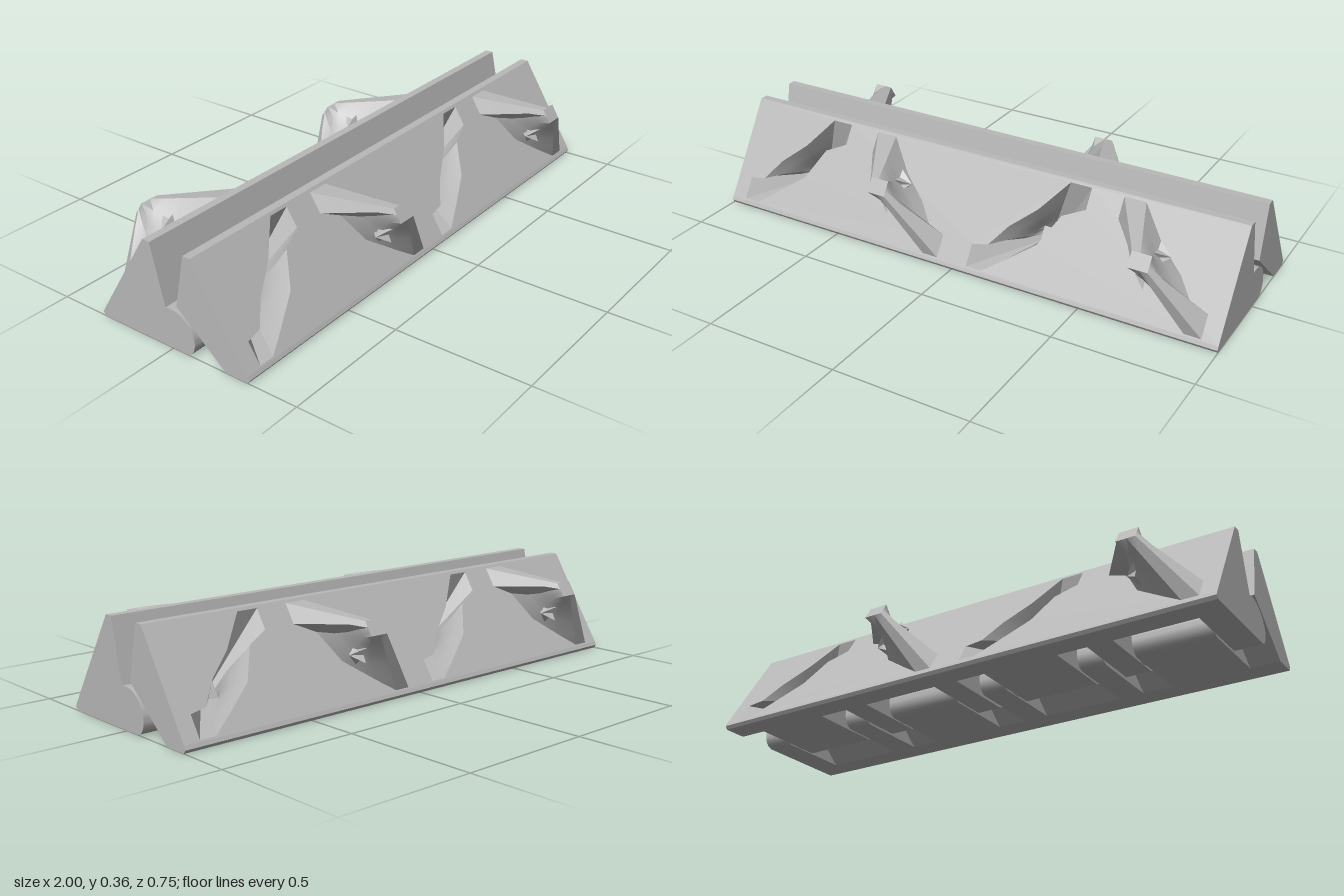
import * as THREE from 'three';
import { toCreasedNormals } from 'three/addons/utils/BufferGeometryUtils.js';

const V2 = (a) => a.map(([x, y]) => new THREE.Vector2(x, y));

function fromTriangles(pos) {
  const g = new THREE.BufferGeometry();
  g.setAttribute('position', new THREE.Float32BufferAttribute(pos, 3));
  return toCreasedNormals(g, 0.5);
}

// Prism along x from an open counter-clockwise (z, y) profile; the closing side stays open
function prism(profile, x0, x1) {
  const pos = [];
  for (let i = 0; i < profile.length - 1; i++) {
    const [a, b] = profile[i], [c, d] = profile[i + 1];
    pos.push(x1, b, a, x1, d, c, x0, d, c, x1, b, a, x0, d, c, x0, b, a);
  }
  for (const [i, j, k] of THREE.ShapeUtils.triangulateShape(V2(profile), [])) {
    for (const n of [i, j, k]) pos.push(x0, profile[n][1], profile[n][0]);
    for (const n of [k, j, i]) pos.push(x1, profile[n][1], profile[n][0]);
  }
  return fromTriangles(pos);
}

// Surface through equal-length rings [{ w, pts }], capped at the last ring
function loft(rings, socket) {
  const pos = [];
  const tri = (a, b, c) => {
    for (const p of socket ? [a, c, b] : [a, b, c]) {
      pos.push(socket ? -p[0] : p[0], p[1], socket ? -p[2] : p[2]);
    }
  };
  const at = (r, i) => [...r.pts[i % r.pts.length], r.w];
  for (let k = 0; k < rings.length - 1; k++) {
    const r = rings[k], s = rings[k + 1];
    for (let i = 0; i < r.pts.length; i++) {
      tri(at(r, i), at(r, i + 1), at(s, i + 1));
      tri(at(r, i), at(s, i + 1), at(s, i));
    }
  }
  const top = rings[rings.length - 1];
  for (const f of THREE.ShapeUtils.triangulateShape(V2(top.pts), [])) tri(...f.map((i) => at(top, i)));
  return fromTriangles(pos);
}

// Five-pointed raised star, pointing along +y
function starGeometry() {
  const g = new THREE.ConeGeometry(0.045, 0.045, 10, 1, true).toNonIndexed();
  const p = g.attributes.position;
  for (let i = 0; i < p.count; i++) {
    const turn = Math.round(Math.atan2(p.getX(i), p.getZ(i)) / (Math.PI / 5));
    const k = turn % 2 ? 0.5 : 1;
    p.setXYZ(i, p.getX(i) * k, p.getY(i), p.getZ(i) * k);
  }
  g.computeVertexNormals();
  return g;
}

export function createModel() {
  const model = new THREE.Group();
  model.name = 'hingedRail';
  const grey = new THREE.MeshStandardMaterial({ color: 0xb8b8b8 });
  grey.name = 'lightGrey';
  const add = (parent, name, geometry) => {
    const m = new THREE.Mesh(geometry, grey);
    m.name = name;
    parent.add(m);
    return m;
  };

  // Wall cross-section without its sloping outer face
  const wall = [[0.10, 0.36], [0.07, 0.36], [0.027, 0.165], [0.222, 0], [0.31, 0], [0.318, 0.012], [0.312, 0.025]];

  // Rounded hinge knuckle cross-section
  const knuckle = [[0.027, 0.165], [0.022, 0.143]];
  for (let i = 0; i <= 16; i++) {
    const a = Math.PI / 2 + (i / 16) * Math.PI / 2;
    knuckle.push([0.095 * Math.cos(a), 0.05 + 0.095 * Math.sin(a)]);
  }
  knuckle.push([-0.093, 0.034], [-0.087, 0.019], [-0.077, 0.007], [-0.06, 0], [0.222, 0]);

  // Fin rings, in the plane of the sloping face
  const angle = Math.atan2(0.212, 0.335), slope = Math.cos(angle);
  const flat = (pts) => pts.map(([u, y]) => [u, (y - 0.36) / slope]);
  const base = flat([[0.19, 0.03], [0.19, 0.10], [0.13, 0.11], [0.07, 0.18], [-0.02, 0.25], [-0.11, 0.35],
    [-0.19, 0.35], [-0.19, 0.285], [-0.11, 0.25], [-0.05, 0.15], [0.06, 0.075], [0.13, 0.03]]);
  const tip = flat([[0.02, 0.163], [0.02, 0.175], [0.02, 0.185], [0.02, 0.197], [0.02, 0.21], [-0.02, 0.21],
    [-0.05, 0.21], [-0.05, 0.2], [-0.05, 0.19], [-0.05, 0.177], [-0.05, 0.163], [-0.01, 0.163]]);
  const centre = [-0.01, (0.187 - 0.36) / slope];
  const pinched = [2, 3, 4, 8, 9, 10];
  const ring = (t) => ({
    w: 0.18 * t,
    pts: base.map((b, i) => [0, 1].map((k) => {
      const v = b[k] + (tip[i][k] - b[k]) * t;
      const pull = pinched.includes(i) ? 0.3 * Math.sin(Math.PI * t) : 0;
      return v + (centre[k] - v) * pull;
    })),
  });
  const rings = [0, 0.25, 0.5, 0.75, 1].map(ring);
  const finGeometry = loft(rings, false);
  const socketGeometry = loft(rings, true);
  const star = starGeometry();

  function half(name) {
    const g = new THREE.Group();
    g.name = name;
    add(g, 'wall', prism(wall, -1, 1));

    // Sloping outer face, pierced by the sockets
    const face = new THREE.Group();
    face.name = 'outerFace';
    face.position.set(0, 0.36, 0.10);
    face.rotation.x = -angle;
    g.add(face);
    const bottom = -Math.hypot(0.212, 0.335);
    const sheet = new THREE.Shape(V2([[-1, bottom], [1, bottom], [1, 0], [-1, 0]]));
    for (const x of [-0.75, 0.25]) {
      sheet.holes.push(new THREE.Path(V2(base.map(([u, v]) => [x - u, v]))));
      add(face, 'socket', socketGeometry).position.x = x;
    }
    add(face, 'facePlate', new THREE.ShapeGeometry(sheet));

    // Fins with a star on each flank
    for (const x of [0.75, -0.25]) {
      add(face, 'fin', finGeometry).position.x = x;
      for (const [side, v] of [[1, -0.165], [-1, -0.248]]) {
        const s = add(face, 'star', star);
        s.position.set(x - 0.01 + side * 0.03, v, 0.057);
        s.rotation.z = -side * Math.PI / 2;
      }
    }

    // Middle knuckles
    for (const x of [-0.75, 0.25]) add(g, 'middleKnuckle', prism(knuckle, x - 0.143, x + 0.143));
    // Paired end knuckles with tapered pins
    for (const x of [0.75, -0.25]) {
      for (const s of [-1, 1]) {
        const inner = x + s * 0.15, outer = x + s * (x + s * 0.25 > 0.99 ? 0.25 : 0.244);
        add(g, 'endKnuckle', prism(knuckle, Math.min(inner, outer), Math.max(inner, outer)));
        const pin = add(g, 'pin', new THREE.CylinderGeometry(0.03, 0.07, 0.04, 32));
        pin.position.set(x + s * 0.13, 0.072, 0);
        pin.rotation.z = s * Math.PI / 2;
      }
    }
    return g;
  }

  const front = half('frontHalf');
  const back = half('backHalf');
  back.rotation.y = Math.PI;
  model.add(front, back);
  return model;
}
